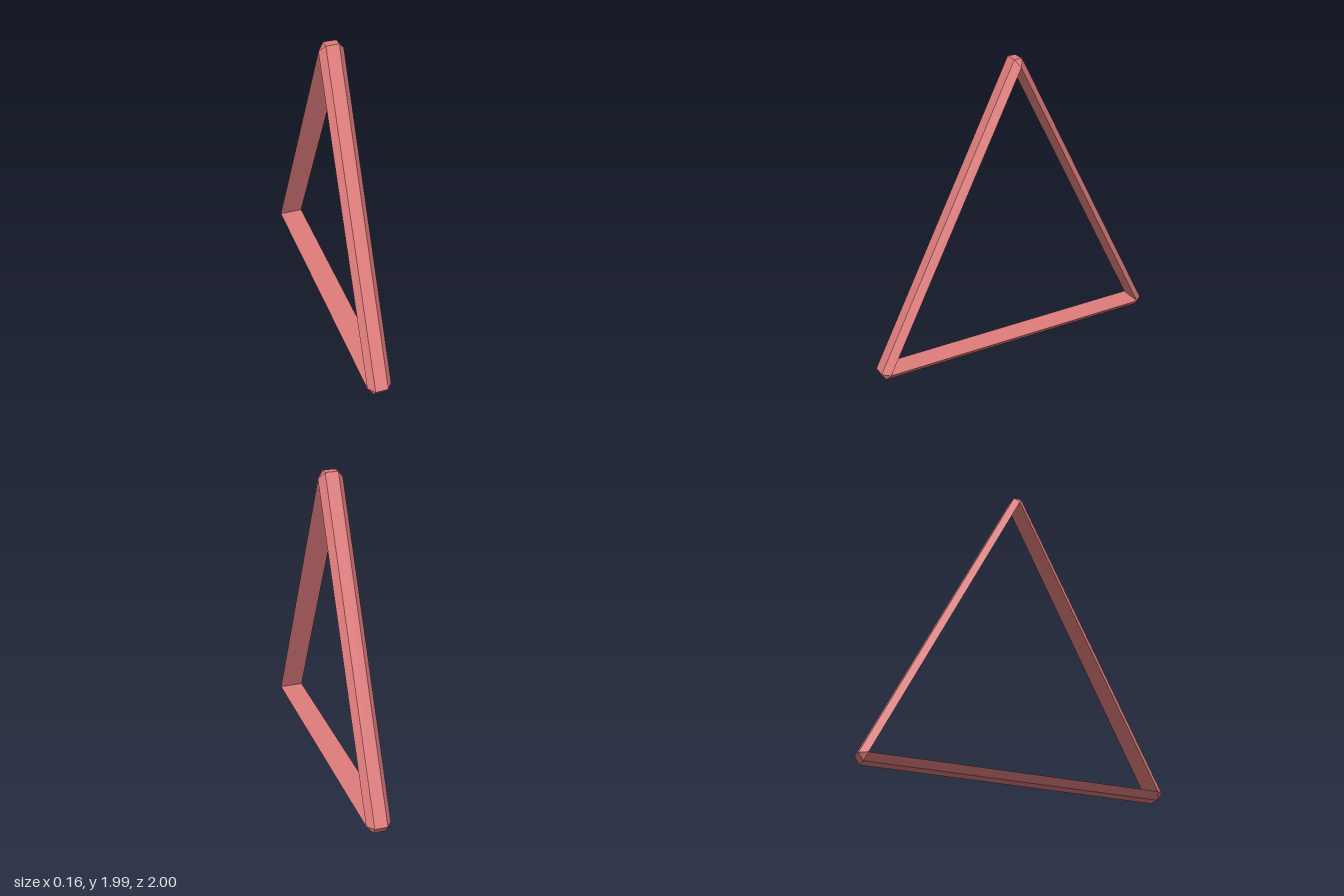
import * as THREE from 'three';

const INNER_HALF = 0.08;  // half width of the flat inner face
const OUTER_HALF = 0.042; // half width of the narrow outer face

// Each corner as [z, y]: one sharp inner point, two outer points that bound the bevel
const corners = [
  { name: 'top', inner: [0, 1.945], outer: [[-0.027, 1.99], [0.027, 1.99]] },
  { name: 'front', inner: [0.95, 0.045], outer: [[1, 0.048], [0.968, 0]] },
  { name: 'back', inner: [-0.95, 0.045], outer: [[-0.968, 0], [-1, 0.048]] },
];

// Trapezoid cross-section at a corner
function section(corner, side) {
  const [iz, iy] = corner.inner;
  const [oz, oy] = corner.outer[side];
  return [
    new THREE.Vector3(INNER_HALF, iy, iz),
    new THREE.Vector3(OUTER_HALF, oy, oz),
    new THREE.Vector3(-OUTER_HALF, oy, oz),
    new THREE.Vector3(-INNER_HALF, iy, iz),
  ];
}

// Flat-shaded skin between two sections, leaving out collapsed triangles
function bridge(a, b) {
  const points = [];
  const add = (...t) => {
    if (new THREE.Triangle(...t).getArea() > 1e-7) points.push(...t);
  };
  for (let i = 0; i < 4; i++) {
    const j = (i + 1) % 4;
    add(a[i], a[j], b[j]);
    add(a[i], b[j], b[i]);
  }
  const geometry = new THREE.BufferGeometry().setFromPoints(points);
  geometry.computeVertexNormals();
  return geometry;
}

export function createModel() {
  const group = new THREE.Group();
  group.name = 'triangularFrame';
  const material = new THREE.MeshStandardMaterial({ color: 0xe07c7c, flatShading: true });
  const barNames = ['frontBar', 'bottomBar', 'backBar'];

  corners.forEach((corner, i) => {
    const next = corners[(i + 1) % 3];

    // Bevelled corner
    const cap = new THREE.Mesh(bridge(section(corner, 0), section(corner, 1)), material);
    cap.name = corner.name + 'Corner';

    // Straight bar to the next corner
    const bar = new THREE.Mesh(bridge(section(corner, 1), section(next, 0)), material);
    bar.name = barNames[i];
    group.add(cap, bar);
  });
  return group;
}
